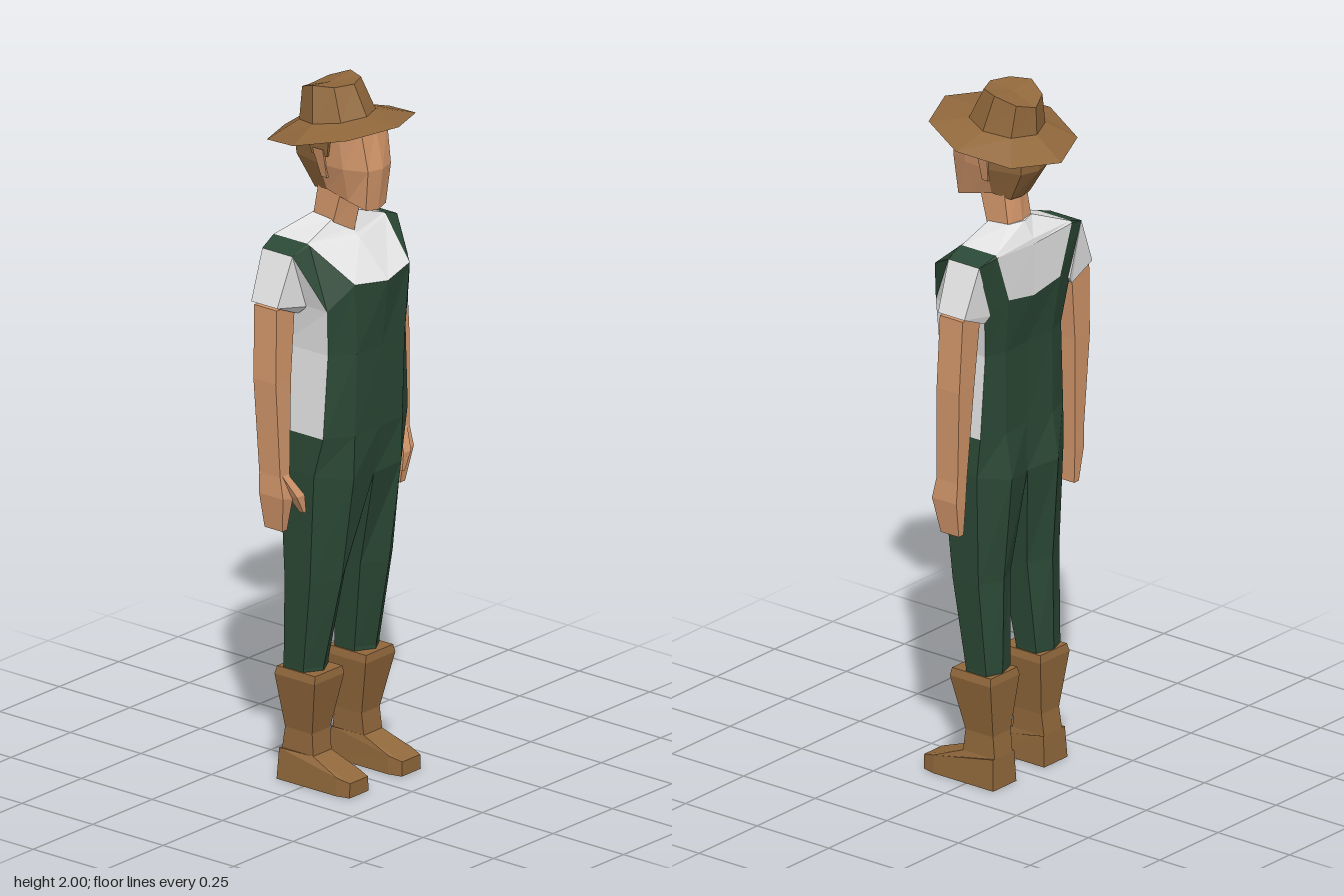
import * as THREE from 'three';

const mat = (name, color) => Object.assign(new THREE.MeshStandardMaterial({ color, flatShading: true }), { name });

// Skins rings of points (listed low to high, counter-clockwise from above) into one mesh per material.
function loft(name, rings, pick) {
  const buckets = new Map();
  const tri = (m, a, b, c) => {
    const [A, B, C] = [a, b, c].map(p => new THREE.Vector3(...p));
    if (B.clone().sub(A).cross(C.clone().sub(A)).length() < 1e-7) return;
    if (!buckets.has(m)) buckets.set(m, []);
    buckets.get(m).push(...a, ...b, ...c);
  };
  const n = rings[0].length;
  for (let r = 0; r < rings.length - 1; r++) {
    for (let i = 0; i < n; i++) {
      const j = (i + 1) % n, m = pick(r, Math.min(i, n - 1 - i));
      tri(m, rings[r][i], rings[r][j], rings[r + 1][j]);
      tri(m, rings[r][i], rings[r + 1][j], rings[r + 1][i]);
    }
  }
  // end caps
  const low = rings[0], high = rings[rings.length - 1];
  const mid = ring => [0, 1, 2].map(k => ring.reduce((s, p) => s + p[k], 0) / n);
  for (let i = 0; i < n; i++) {
    const j = (i + 1) % n;
    tri(pick(0, 0), mid(low), low[j], low[i]);
    tri(pick(rings.length - 2, 0), mid(high), high[i], high[j]);
  }
  const group = new THREE.Group();
  group.name = name;
  for (const [m, pos] of buckets) {
    const geo = new THREE.BufferGeometry();
    geo.setAttribute('position', new THREE.Float32BufferAttribute(pos, 3));
    geo.computeVertexNormals();
    const mesh = new THREE.Mesh(geo, m);
    mesh.name = `${name} ${m.name}`;
    group.add(mesh);
  }
  return group;
}

const flip = ring => ring.map(([x, y, z]) => [-x, y, z]).reverse();
// Completes a half ring whose first and last points lie on the centre line.
const whole = half => [...half, ...flip(half.slice(1, -1))];
// Four-cornered ring: x range, y at the inner and outer side, z range.
const quad = (x0, x1, y0, y1, zf, zb) => [[x0, y0, zf], [x1, y1, zf], [x1, y1, zb], [x0, y0, zb]];

export function createModel() {
  const brown = mat('brown', 0x91683c), skin = mat('skin', 0xd2966a);
  const green = mat('overall green', 0x2b4835), white = mat('shirt white', 0xe2e2e2);
  const model = new THREE.Group();
  model.name = 'farmer';
  const pair = (name, rings, m) => model.add(
    loft('left ' + name, rings, () => m),
    loft('right ' + name, rings.map(flip), () => m));

  // torso: bib, straps, side panels and shirt yoke
  const hip = [[0, .89, .115], [.1, .9, .128], [.187, .92, .06], [.187, .92, -.06], [.1, .9, -.112], [0, .89, -.085]];
  const torso = [
    hip,
    [[0, 1.03, .135], [.1, 1.03, .132], [.178, 1.03, .085], [.178, 1.03, -.065], [.1, 1.03, -.092], [0, 1.03, -.082]],
    [[0, 1.27, .145], [.1, 1.27, .14], [.163, 1.27, .09], [.163, 1.27, -.07], [.1, 1.27, -.09], [0, 1.27, -.085]],
    [[0, 1.46, .165], [.115, 1.475, .145], [.172, 1.4, .095], [.185, 1.41, -.085], [.11, 1.43, -.11], [0, 1.41, -.108]],
    [[0, 1.56, .065], [.16, 1.572, .022], [.22, 1.555, .012], [.22, 1.555, -.095], [.16, 1.57, -.11], [0, 1.56, -.108]],
    [[0, 1.57, .052], [.16, 1.576, .015], [.16, 1.576, .015], [.16, 1.576, -.105], [.16, 1.576, -.105], [0, 1.575, -.105]],
    [[0, 1.585, .04], [.05, 1.615, .01], [.05, 1.615, .01], [.05, 1.62, -.06], [.05, 1.62, -.06], [0, 1.62, -.075]],
  ].map(whole);
  model.add(loft('torso', torso, (row, col) => {
    if (row === 0) return green;
    if (row < 3) return col === 2 ? white : green;
    if (row === 3) return col === 1 || col === 3 ? green : white;
    if (row === 4) return col === 0 || col === 4 ? white : green;
    return white;
  }));

  // trouser legs
  const cuff = y => [[.055, y, 0], [.11, y, .03], [.16, y, 0], [.16, y, -.07], [.11, y, -.088], [.055, y, -.07]];
  pair('trouser leg', [
    cuff(.29), cuff(.34),
    [[.032, .6, .04], [.1, .6, .085], [.174, .6, .035], [.174, .6, -.055], [.105, .6, -.088], [.035, .6, -.055]],
    hip,
  ], green);

  // boots: sole, toe, ankle and rim
  const shaft = (x0, x1, y, zf, zb) => [[x0, y, zf], [x1, y, zf], [x1, y, zf], [x1, y, zb], [x0, y, zb], [x0, y, zf]];
  pair('boot', [
    [[.07, 0, .155], [.15, 0, .155], [.16, 0, .115], [.16, 0, -.095], [.06, 0, -.095], [.06, 0, .115]],
    [[.072, .042, .155], [.148, .042, .155], [.157, .052, .115], [.155, .09, -.09], [.063, .09, -.09], [.063, .052, .115]],
    shaft(.068, .145, .088, .022, -.088),
    shaft(.066, .142, .15, .016, -.08),
    shaft(.045, .17, .308, .048, -.094),
    shaft(.05, .164, .33, .045, -.09),
  ], brown);

  // sleeves
  pair('sleeve', [
    quad(.188, .275, 1.38, 1.418, .004, -.088),
    [[.17, 1.4, .025], [.22, 1.555, .012], [.22, 1.555, -.095], [.17, 1.4, -.095]],
  ], white);

  // arms with hands
  pair('arm', [
    quad(.238, .258, .768, .768, .008, -.055),
    quad(.235, .275, .86, .87, .025, -.06),
    quad(.232, .272, .93, .93, .012, -.062),
    quad(.217, .281, 1.2, 1.2, .004, -.075),
    quad(.196, .272, 1.41, 1.41, 0, -.08),
  ], skin);
  pair('thumb', [
    quad(.202, .212, .82, .818, .045, .03),
    quad(.208, .24, .87, .87, .045, .01),
    quad(.238, .262, .93, .93, .012, -.02),
  ], skin);

  // neck
  model.add(loft('neck', [
    [[0, 1.575, .045], [.052, 1.6, .012], [.05, 1.6, -.06], [0, 1.6, -.07]],
    [[0, 1.7, .075], [.05, 1.7, .04], [.047, 1.72, -.04], [0, 1.72, -.055]],
  ].map(whole), () => skin));

  // head with hair at the back
  model.add(loft('head', [
    [[0, 1.657, .13], [.042, 1.663, .122], [.05, 1.68, .065], [.055, 1.7, -.005], [.04, 1.69, -.06], [0, 1.69, -.068]],
    [[0, 1.78, .147], [.048, 1.78, .135], [.077, 1.78, .07], [.083, 1.78, -.01], [.058, 1.78, -.11], [0, 1.78, -.127]],
    [[0, 1.9, .122], [.055, 1.9, .115], [.088, 1.9, .06], [.097, 1.88, -.01], [.065, 1.86, -.115], [0, 1.85, -.133]],
  ].map(whole), (row, col) => (col >= 3 ? brown : skin)));
  pair('ear', [
    quad(.06, .076, 1.74, 1.742, .012, -.008),
    quad(.07, .097, 1.82, 1.83, .015, -.022),
  ], skin);
  pair('sideburn', [
    quad(.07, .09, 1.81, 1.81, .025, -.03),
    quad(.075, .1, 1.885, 1.885, .04, -.05),
  ], brown);

  // hat: tilted eight-sided brim and crown
  const octagon = (r, zc, height) => Array.from({ length: 8 }, (_, i) => {
    const a = i * Math.PI / 4, z = zc + r * Math.cos(a);
    return [r * Math.sin(a), height(z), z];
  });
  model.add(loft('hat', [
    octagon(.095, -.013, z => 1.893 + .16 * z),
    octagon(.203, 0, z => 1.868 + .225 * z),
    octagon(.104, -.014, z => 1.902 + .16 * z),
    octagon(.08, -.035, z => Math.min(2, 2 + .7 * (z + .06))),
  ], () => brown));
  return model;
}
